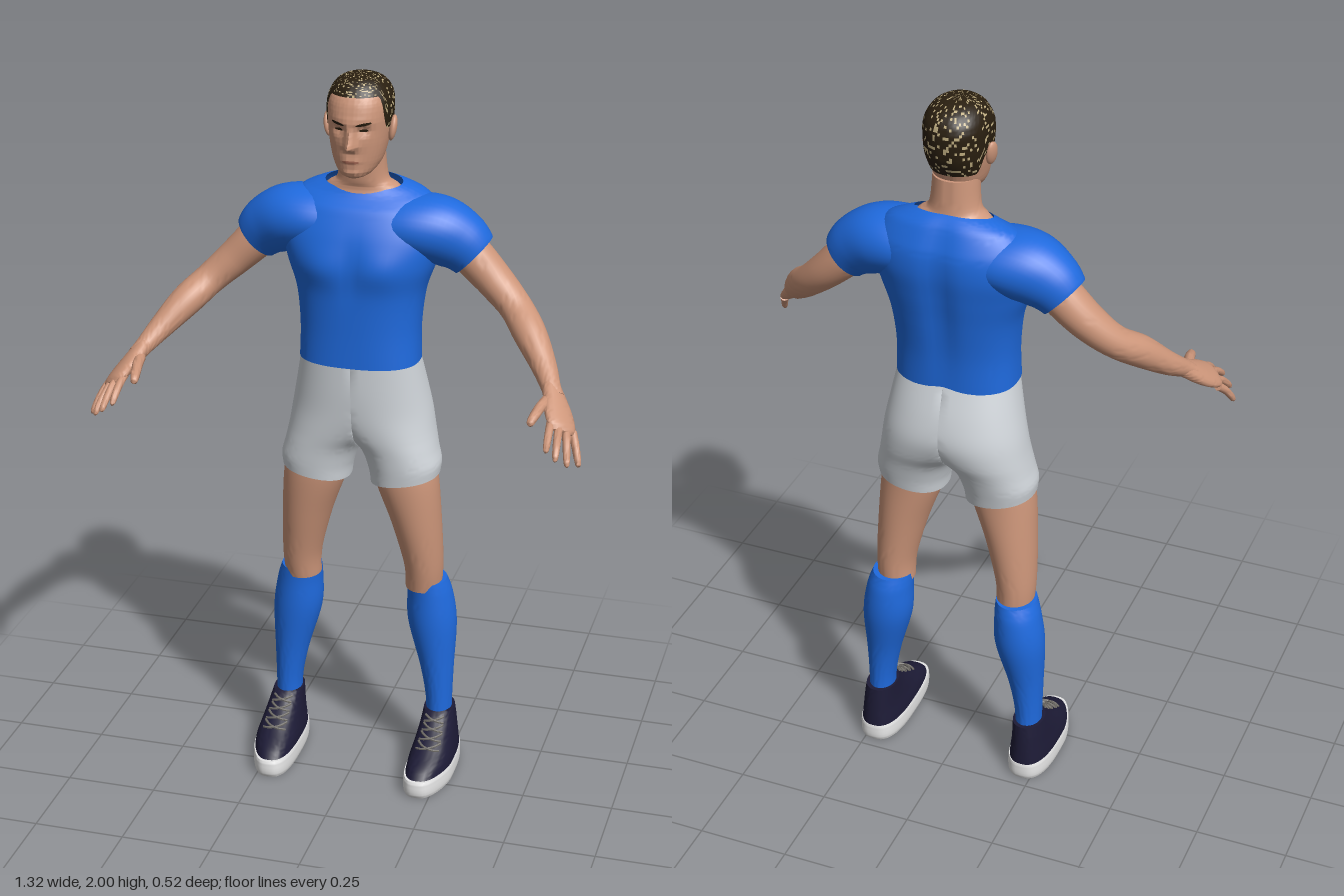
import * as THREE from 'three';
import { toCreasedNormals } from 'three/addons/utils/BufferGeometryUtils.js';

const material = (name, color, side = THREE.FrontSide) => {
  const m = new THREE.MeshStandardMaterial({ color, side });
  m.name = name;
  return m;
};
const { clamp, lerp, smoothstep } = THREE.MathUtils;
const bump = (d, w) => Math.exp(-((d / w) ** 2));
const power = (a, e) => Math.sign(a) * Math.abs(a) ** e;

// Catmull-Rom through rows of numbers, t counts rows
function spline(rows, t) {
  const last = rows.length - 1;
  const i = clamp(Math.floor(t), 0, last - 1), f = t - i;
  const p = [i - 1, i, i + 1, i + 2].map(k => rows[clamp(k, 0, last)]);
  return p[1].map((b, c) => {
    const a = p[0][c], d = p[2][c], e = p[3][c];
    return b + 0.5 * f * (d - a + f * (2 * a - 5 * b + 4 * d - e + f * (3 * (b - d) + e - a)));
  });
}

// Grid surface from a function; s = -1 mirrors it; pick(i, j) sends quads to a second material
function surface(name, fn, nu, nv, mat, s = 1, pick = null) {
  const pos = [], lists = [[], []];
  for (let j = 0; j <= nv; j++) for (let i = 0; i <= nu; i++) {
    const [x, y, z] = fn(i / nu, j / nv);
    pos.push(x * s, y, z);
  }
  for (let j = 0; j < nv; j++) for (let i = 0; i < nu; i++) {
    const a = j * (nu + 1) + i, b = a + 1, c = b + nu + 1, d = c - 1;
    lists[pick && pick(i, j) ? 1 : 0].push(...(s > 0 ? [a, b, c, a, c, d] : [a, c, b, a, d, c]));
  }
  let geo = new THREE.BufferGeometry();
  geo.setAttribute('position', new THREE.Float32BufferAttribute(pos, 3));
  geo.setIndex([...lists[0], ...lists[1]]);
  geo = toCreasedNormals(geo, 0.95);
  if (pick) {
    geo.addGroup(0, lists[0].length, 0);
    geo.addGroup(lists[0].length, lists[1].length, 1);
  }
  const mesh = new THREE.Mesh(geo, mat);
  mesh.name = name;
  return mesh;
}

// Point on a stack of horizontal sections [y, centreX, halfWidth, zFront, zBack, squareness]
function sectionPoint(rows, t, angle) {
  const [y, cx, rx, zf, zb, n] = spline(rows, t);
  return [cx + rx * power(Math.sin(angle), 2 / n), y,
    (zf + zb) / 2 + (zf - zb) / 2 * power(Math.cos(angle), 2 / n)];
}
function stack(name, rows, mat, { s = 1, nu = 40, steps = 6, tweak = p => p, capped = true } = {}) {
  const last = rows.length - 1, nv = last * steps + 2;
  return surface(name, (u, v) => {
    const k = Math.round(v * nv), t = clamp((k - 1) / steps, 0, last);
    const p = sectionPoint(rows, t, u * Math.PI * 2);
    if (capped && (k === 0 || k === nv)) {
      const [, cx, , zf, zb] = spline(rows, t);
      return tweak([cx, p[1], (zf + zb) / 2]);
    }
    return tweak(p);
  }, nu, nv, mat, s);
}

// Tube along [x, y, z, horizontalRadius, verticalRadius]
function limb(name, rows, mat, { s = 1, nu = 20, steps = 6, roll = 0 } = {}) {
  const last = rows.length - 1, nv = last * steps + 2;
  return surface(name, (u, v) => {
    const k = Math.round(v * nv), t = clamp((k - 1) / steps, 0, last);
    const [x, y, z, ru, rv] = spline(rows, t);
    const a = spline(rows, Math.max(t - 0.05, 0)), b = spline(rows, Math.min(t + 0.05, last));
    const dir = new THREE.Vector3(b[0] - a[0], b[1] - a[1], b[2] - a[2]).normalize();
    const side = new THREE.Vector3(-dir.z, 0, dir.x).normalize().applyAxisAngle(dir, roll);
    const up = side.clone().cross(dir);
    const r = k === 0 || k === nv ? 0 : 1, w = u * Math.PI * 2;
    return new THREE.Vector3(x, y, z).addScaledVector(side, r * ru * Math.sin(w))
      .addScaledVector(up, r * rv * Math.cos(w)).toArray();
  }, nu, nv, mat, s);
}

// Head sections and sculpted face
const HEAD = [
  [1.742, 0, 0.02, -0.022, -0.07, 2], [1.752, 0, 0.042, -0.012, -0.11, 2.1], [1.78, 0, 0.062, -0.01, -0.16, 2.2],
  [1.82, 0, 0.073, -0.006, -0.182, 2.2], [1.86, 0, 0.079, -0.003, -0.2, 2.2], [1.9, 0, 0.081, -0.001, -0.206, 2.2],
  [1.94, 0, 0.079, -0.012, -0.205, 2.2], [1.97, 0, 0.065, -0.034, -0.187, 2.1], [1.988, 0, 0.04, -0.062, -0.152, 2],
  [1.995, 0, 0, -0.105, -0.105, 2]];
function headPoint(t, angle) {
  const [x, y, z] = sectionPoint(HEAD, t, angle);
  const ridge = clamp((1.89 - y) / 0.055, 0, 1) * smoothstep(y, 1.812, 1.832);
  const relief = 0.027 * bump(x, 0.011) * ridge + 0.01 * bump(x, 0.019) * bump(y - 1.829, 0.01)
    - 0.011 * bump(Math.abs(x) - 0.032, 0.016) * bump(y - 1.871, 0.013) + 0.004 * bump(y - 1.893, 0.01) * bump(x, 0.05)
    + 0.007 * bump(x, 0.024) * bump(y - 1.79, 0.012) + 0.006 * bump(x, 0.025) * bump(y - 1.76, 0.012);
  return [x, y, z + relief * smoothstep(Math.cos(angle), 0, 0.5)];
}
function headRow(y) {
  let lo = 0, hi = HEAD.length - 1;
  for (let i = 0; i < 24; i++) {
    const mid = (lo + hi) / 2;
    if (spline(HEAD, mid)[0] < y) lo = mid; else hi = mid;
  }
  return lo;
}
// Thin plate hugging the face
function facePatch(name, x, y, w, h, tilt, mat, s) {
  return surface(name, (u, v) => {
    const px = x + (u - 0.5) * w, taper = Math.sqrt(1 - (2 * u - 1) ** 2 * 0.9);
    const t = headRow(y + (v - 0.5) * h * taper + (u - 0.5) * tilt);
    const [, , rx, , , n] = spline(HEAD, t);
    const p = headPoint(t, Math.asin(power(px / rx, n / 2)));
    return [p[0], p[1], p[2] + 0.0025];
  }, 10, 4, mat, s);
}

export function createModel() {
  const model = new THREE.Group();
  const add = (...parts) => model.add(...parts);
  const skin = material('skin', 0xcd967a), blue = material('blue cloth', 0x1f6ade, THREE.DoubleSide);
  const shortsCloth = material('pale grey cloth', 0xd0d5da), hair = material('dark hair', 0x2a1f10, THREE.DoubleSide);
  const fleck = material('hair fleck', 0xc2b083, THREE.DoubleSide), navy = material('navy shoe', 0x1d1b36);
  const white = material('white sole', 0xe6e6e6), lace = material('grey lace', 0x6e6b66);
  const lip = material('lip', 0xa96c58);

  // Head, hair and neck
  const top = HEAD.length - 1;
  add(surface('head', (u, v) => headPoint(v * top, u * Math.PI * 2), 112, 90, skin));
  let seed = 7;
  const random = () => (seed = (seed * 16807) % 2147483647) / 2147483647;
  add(surface('hair', (u, v) => {
    const a = Math.abs(u > 0.5 ? u - 1 : u) * Math.PI * 2;
    const line = 1.953 - 0.085 * smoothstep(a, 0.9, 1.3) - 0.05 * smoothstep(a, 1.75, 2.2);
    const p = headPoint(lerp(headRow(line), top, v), u * Math.PI * 2), k = 1.02 + 0.025 * Math.min(v * 5, 1);
    return [p[0] * k, 1.88 + (p[1] - 1.88) * k, -0.105 + (p[2] + 0.105) * k];
  }, 84, 32, [hair, fleck], 1, () => random() < 0.15));
  add(stack('neck', [[1.655, 0, 0.13, -0.07, -0.21, 2], [1.695, 0, 0.097, -0.082, -0.195, 2],
    [1.72, 0, 0.068, -0.076, -0.188, 2], [1.8, 0, 0.06, -0.065, -0.182, 2]], skin));
  add(facePatch('lips', 0, 1.789, 0.044, 0.009, 0, lip, 1));

  // Shirt body with chest, spine groove and a collar that dips at the front
  add(stack('shirtBody', [[1.225, 0, 0.163, 0.003, -0.226, 2.5], [1.32, 0, 0.162, 0.002, -0.23, 2.4],
    [1.42, 0, 0.173, 0.004, -0.243, 2.4], [1.5, 0, 0.2, 0.01, -0.256, 2.3], [1.57, 0, 0.216, -0.006, -0.264, 2.3],
    [1.63, 0, 0.208, -0.034, -0.258, 2.2], [1.67, 0, 0.178, -0.06, -0.235, 2.1], [1.69, 0, 0.14, -0.075, -0.215, 2],
    [1.703, 0, 0.104, -0.084, -0.198, 2]], blue, {
    nu: 72, capped: false, tweak: ([x, y, z]) => {
      const back = smoothstep(-z, 0.15, 0.22), front = smoothstep(z, -0.1, -0.02);
      const dz = back * 0.014 * bump(x, 0.035) * bump(y - 1.5, 0.2)
        - front * 0.008 * bump(x, 0.025) * bump(y - 1.5, 0.07)
        + front * 0.008 * bump(Math.abs(x) - 0.085, 0.05) * bump(y - 1.5, 0.05);
      return [x, y - (z + 0.14) * 0.22 * smoothstep(y, 1.64, 1.7), z + dz];
    } }));

  for (const s of [1, -1]) {
    const side = s > 0 ? 'left' : 'right';
    // Face details
    add(facePatch(side + 'Eyebrow', 0.034, 1.89, 0.036, 0.008, 0.006, hair, s));
    add(facePatch(side + 'Eye', 0.033, 1.872, 0.022, 0.007, 0, hair, s));
    const ear = new THREE.Mesh(new THREE.SphereGeometry(1, 16, 12), skin);
    ear.scale.set(0.011, 0.034, 0.02);
    ear.position.set(0.085 * s, 1.86, -0.105);
    ear.rotation.set(-0.2, 0.3 * s, -0.12 * s);
    ear.name = side + 'Ear';
    add(ear);

    // Sleeve and arm
    add(limb(side + 'Sleeve', [[0.06, 1.592, -0.138, 0.1, 0.07], [0.14, 1.594, -0.138, 0.108, 0.083],
      [0.205, 1.584, -0.14, 0.1, 0.089], [0.26, 1.556, -0.143, 0.08, 0.082], [0.297, 1.522, -0.145, 0.064, 0.068]],
    blue, { s, nu: 36 }));
    add(limb(side + 'Arm', [[0.25, 1.565, -0.145, 0.05, 0.054], [0.3, 1.513, -0.144, 0.054, 0.054],
      [0.36, 1.455, -0.135, 0.051, 0.048], [0.42, 1.4, -0.108, 0.045, 0.042], [0.47, 1.352, -0.052, 0.044, 0.042],
      [0.52, 1.295, 0.01, 0.034, 0.032], [0.55, 1.258, 0.06, 0.026, 0.024], [0.565, 1.24, 0.085, 0.026, 0.02]],
    skin, { s, nu: 28 }));
    add(limb(side + 'Palm', [[0.548, 1.262, 0.055, 0.026, 0.021], [0.568, 1.235, 0.09, 0.036, 0.021],
      [0.585, 1.212, 0.125, 0.044, 0.019], [0.6, 1.192, 0.16, 0.042, 0.015], [0.605, 1.184, 0.174, 0.03, 0.008]],
    skin, { s, roll: -0.5 }));
    // Fingers: knuckle and tip
    const digits = { thumb: [0.55, 1.238, 0.1, 0.527, 1.21, 0.215], index: [0.573, 1.208, 0.16, 0.578, 1.155, 0.248],
      middle: [0.594, 1.195, 0.163, 0.604, 1.138, 0.258], ring: [0.611, 1.182, 0.155, 0.631, 1.117, 0.237],
      little: [0.625, 1.172, 0.14, 0.654, 1.103, 0.197] };
    for (const [name, [x, y, z, tx, ty, tz]] of Object.entries(digits)) {
      const r = name === 'thumb' ? 0.014 : 0.0105;
      const at = (f, k) => [lerp(x, tx, f), lerp(y, ty, f) + 0.03 * f * (1 - f), lerp(z, tz, f), r * k, r * k];
      add(limb(`${side} ${name} finger`, [at(0, 1.1), at(0.4, 1), at(0.75, 0.9), at(0.94, 0.68), at(1, 0.2)],
        skin, { s, nu: 10, steps: 3 }));
    }

    // Half of the shorts, cut at the middle and opening into one leg
    add(stack(side + 'Shorts', [[0.882, 0.124, 0.094, -0.028, -0.214, 2.2], [0.92, 0.122, 0.099, -0.024, -0.222, 2.2],
      [0.97, 0.104, 0.107, -0.02, -0.235, 2.2], [1.02, 0.068, 0.133, -0.014, -0.254, 2.2],
      [1.08, 0.03, 0.161, -0.008, -0.264, 2.2], [1.15, 0.005, 0.172, -0.003, -0.252, 2.3],
      [1.237, 0, 0.16, -0.001, -0.223, 2.4]], shortsCloth, {
      s, nu: 64, tweak: ([x, y, z]) => [Math.max(x, 0), y + (x - 0.12) * 0.16 * (1 - smoothstep(y, 0.88, 0.98)), z] }));
    // Leg and sock
    add(stack(side + 'Leg', [[0.545, 0.174, 0.05, -0.085, -0.2, 2], [0.62, 0.174, 0.054, -0.07, -0.203, 2],
      [0.75, 0.155, 0.069, -0.045, -0.206, 2], [0.88, 0.128, 0.087, -0.03, -0.206, 2.1],
      [0.98, 0.112, 0.085, -0.035, -0.21, 2.1]], skin, { s }));
    add(stack(side + 'Sock', [[0.12, 0.221, 0.036, -0.105, -0.198, 2], [0.2, 0.22, 0.037, -0.105, -0.197, 2],
      [0.3, 0.212, 0.048, -0.1, -0.206, 2], [0.43, 0.196, 0.068, -0.09, -0.23, 2], [0.52, 0.188, 0.063, -0.089, -0.228, 2],
      [0.567, 0.181, 0.055, -0.087, -0.214, 2]], blue, { s }));

    // Shoe with a tapered toe
    const toe = ([x, y, z]) => {
      const f = smoothstep(z, -0.04, 0.1);
      return [0.225 + (x - 0.225) * (1 - 0.12 * f) - 0.01 * f, y, z];
    };
    add(stack(side + 'Sole', [[0, 0.225, 0.061, 0.094, -0.22, 2.7], [0.012, 0.225, 0.064, 0.1, -0.225, 2.7],
      [0.04, 0.225, 0.064, 0.1, -0.225, 2.7], [0.05, 0.225, 0.062, 0.096, -0.223, 2.7]], white, { s, nu: 48, steps: 3, tweak: toe }));
    const upper = [[0.045, 0.225, 0.061, 0.092, -0.222, 2.6], [0.07, 0.225, 0.059, 0.066, -0.22, 2.5],
      [0.1, 0.225, 0.053, 0.008, -0.217, 2.4], [0.135, 0.224, 0.047, -0.053, -0.213, 2.3],
      [0.168, 0.222, 0.042, -0.094, -0.208, 2.2]];
    add(stack(side + 'Shoe', upper, navy, { s, nu: 48, tweak: toe }));
    // Crossed laces over the instep
    for (let i = 0; i < 4; i++) for (const d of [1, -1]) {
      const rows = [-0.6, -0.3, 0, 0.3, 0.6].map(a => {
        const p = toe(sectionPoint(upper, 2.15 + i * 0.45 + d * a * 0.3, a));
        return [p[0], p[1] + 0.002, p[2] + 0.002, 0.0035, 0.0035];
      });
      add(limb(`${side} lace`, rows, lace, { s, nu: 6, steps: 2 }));
    }
  }
  return model;
}
